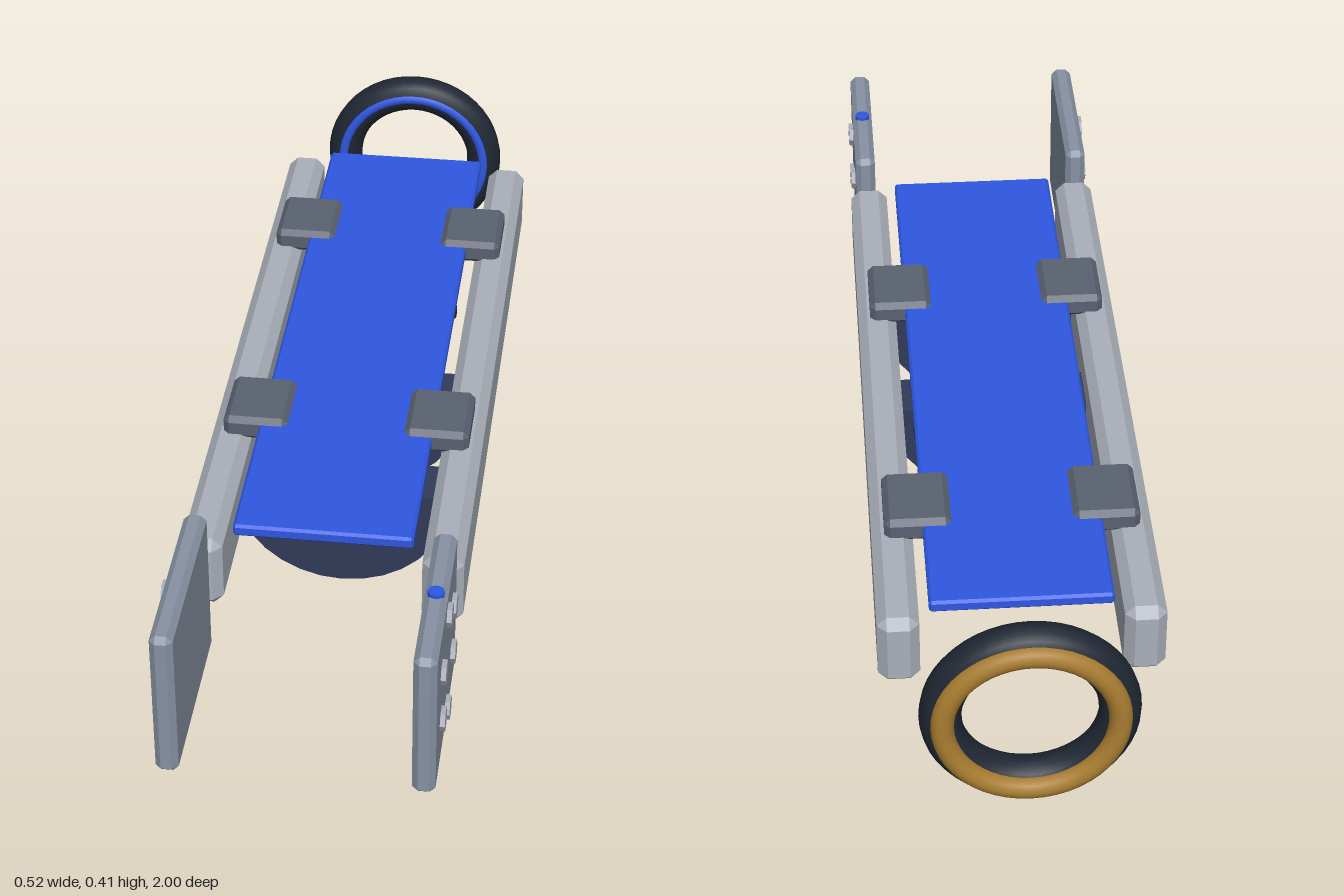
import * as THREE from 'three';
import { ConvexGeometry } from 'three/addons/geometries/ConvexGeometry.js';

const mat = (color) => new THREE.MeshStandardMaterial({ color });
const MAT = {
  rail: mat(0xa9afba), plate: mat(0x8792a3), clamp: mat(0x5a6170), bolt: mat(0xa9afba),
  blue: mat(0x2f57e0), drum: mat(0x303b57), dark: mat(0x1f2733), gold: mat(0xa87c30),
};

// Box with every edge chamfered by b, given by its limits
function chamferBox(x0, x1, y0, y1, z0, z1, b) {
  const h = [(x1 - x0) / 2, (y1 - y0) / 2, (z1 - z0) / 2];
  const points = [];
  for (const sx of [-1, 1]) for (const sy of [-1, 1]) for (const sz of [-1, 1]) {
    for (let full = 0; full < 3; full++) {
      const [x, y, z] = h.map((v, i) => (i === full ? v : v - b));
      points.push(new THREE.Vector3(sx * x, sy * y, sz * z));
    }
  }
  return new ConvexGeometry(points).translate((x0 + x1) / 2, (y0 + y1) / 2, (z0 + z1) / 2);
}

export function createModel() {
  const model = new THREE.Group();
  model.name = 'railSled';
  const add = (name, geometry, material) => {
    const mesh = new THREE.Mesh(geometry, material);
    mesh.name = name;
    model.add(mesh);
    return mesh;
  };

  // Deck and the cross bar below it
  add('deck', chamferBox(-0.167, 0.167, 0.288, 0.313, -0.765, 0.61, 0.005), MAT.blue);
  add('crossBar', chamferBox(-0.167, 0.167, 0.258, 0.288, -0.23, -0.195, 0.007), MAT.dark);

  for (const side of [-1, 1]) {
    const label = side > 0 ? 'left' : 'right';
    const span = (a, b) => (side > 0 ? [a, b] : [-b, -a]);

    // Long side rail and front end plate
    add(label + 'Rail', chamferBox(...span(0.185, 0.262), 0.14, 0.288, -0.79, 0.64, 0.018), MAT.rail);
    add(label + 'EndPlate', chamferBox(...span(0.208, 0.25), 0.05, 0.357, 0.633, 1, 0.011), MAT.plate);

    // Clamps holding the deck to the rail
    for (const z of [-0.475, 0.215]) {
      add(label + 'Clamp', chamferBox(...span(0.113, 0.238), 0.275, 0.324, z - 0.077, z + 0.077, 0.011), MAT.clamp);
    }

    // Ring of six hexagonal bolts on the outer face
    for (let i = 0; i < 6; i++) {
      const a = (i * Math.PI) / 3;
      const bolt = add(label + 'Bolt', new THREE.CylinderGeometry(0.023, 0.023, 0.02, 6).toNonIndexed(), MAT.bolt);
      bolt.geometry.computeVertexNormals();
      bolt.rotation.z = Math.PI / 2;
      bolt.position.set(side * 0.249, 0.205 + 0.107 * Math.cos(a), 0.815 + 0.107 * Math.sin(a));
    }
  }

  // Half-round drums between the rails, flat side up
  for (const z of [0.3, -0.02]) {
    const drum = add('drum', new THREE.CylinderGeometry(0.213, 0.213, 0.105, 16, 1, false, -Math.PI / 2, Math.PI), MAT.drum);
    drum.rotation.x = Math.PI / 2;
    drum.position.set(0, 0.213, z);
    const lid = add('drumLid', new THREE.PlaneGeometry(0.426, 0.105), MAT.drum);
    lid.rotation.x = -Math.PI / 2;
    lid.position.set(0, 0.213, z);
  }

  // Small blue buttons on the front drum and the left end plate
  for (const [x, y, z] of [[0, 0.214, 0.3], [0.229, 0.357, 0.815]]) {
    add('button', new THREE.CylinderGeometry(0.015, 0.015, 0.013, 12), MAT.blue).position.set(x, y, z);
  }

  // Upright rear wheel ring: tyre, blue front trim, gold back trim
  const ring = (name, radius, tube, z, material) =>
    add(name, new THREE.TorusGeometry(radius, tube, 16, 48), material).position.set(0, 0.213, z);
  ring('tyre', 0.159, 0.038, -0.948, MAT.dark);
  ring('frontTrim', 0.16, 0.012, -0.919, MAT.blue);
  ring('backTrim', 0.157, 0.021, -0.979, MAT.gold);

  return model;
}
